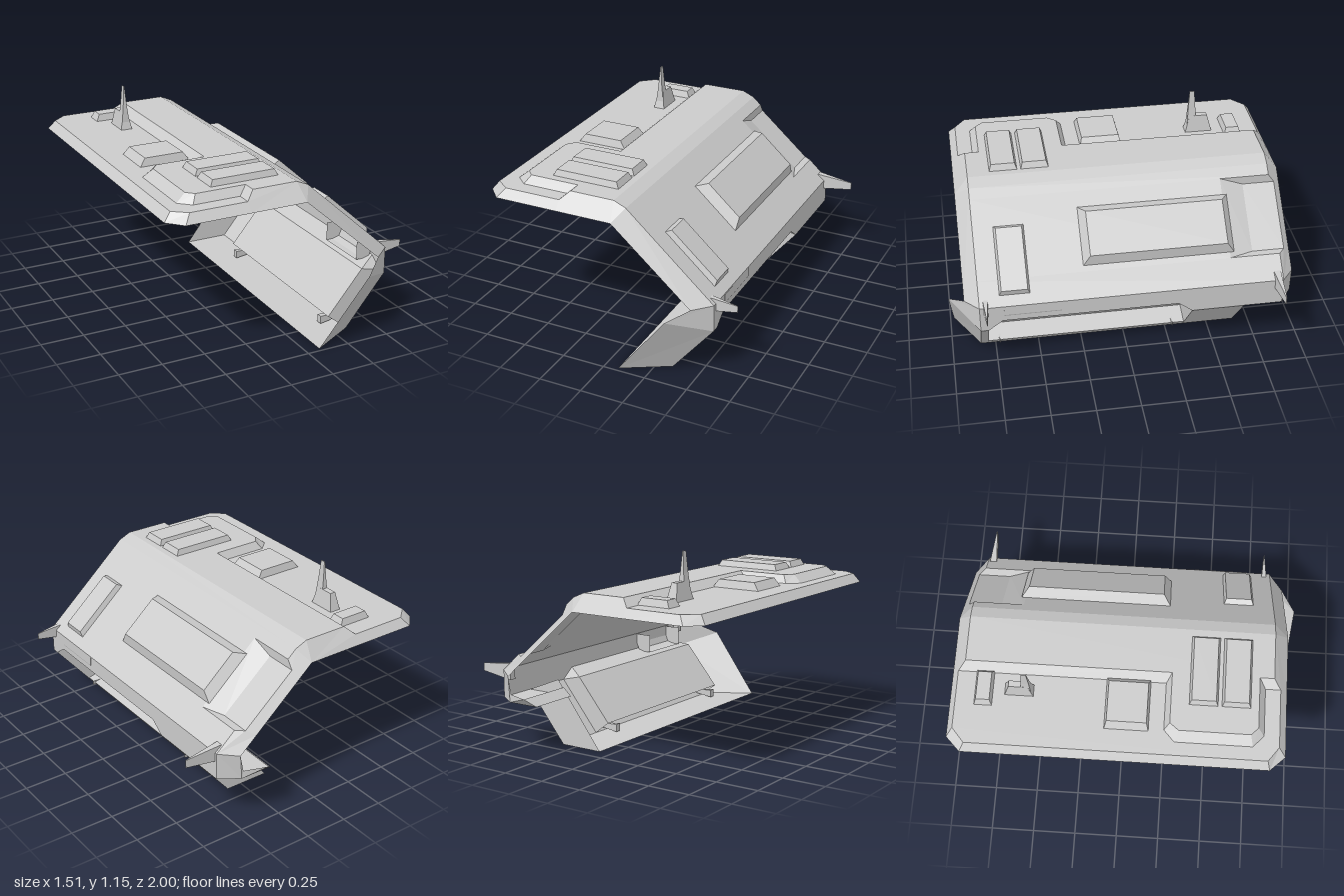
import * as THREE from 'three';

const material = new THREE.MeshStandardMaterial({ color: 0xcccccc, flatShading: true, side: THREE.DoubleSide });

// Flat panels, each a convex polygon given by its corners
function panels(name, polys) {
  const pos = [];
  for (const p of polys)
    for (let i = 1; i < p.length - 1; i++) pos.push(...p[0], ...p[i], ...p[i + 1]);
  const g = new THREE.BufferGeometry();
  g.setAttribute('position', new THREE.Float32BufferAttribute(pos, 3));
  g.computeVertexNormals();
  const m = new THREE.Mesh(g, material);
  m.name = name;
  return m;
}

// Box standing on its base, its top inset on both axes
function block(name, [l, h, w], [ix, iz], [x, y, z], tilt = 0) {
  const g = new THREE.BoxGeometry(l, h, w).translate(0, h / 2, 0).toNonIndexed();
  const p = g.attributes.position;
  for (let i = 0; i < p.count; i++)
    if (p.getY(i) > h / 2) {
      p.setX(i, p.getX(i) * (1 - 2 * ix / l));
      p.setZ(i, p.getZ(i) * (1 - 2 * iz / w));
    }
  g.computeVertexNormals();
  const m = new THREE.Mesh(g, material);
  m.name = name;
  m.position.set(x, y, z);
  m.rotation.z = tilt;
  return m;
}

const at = (y, pts) => pts.map(([x, z]) => [x, y, z]);
const skirt = (a, b) => a.slice(1).map((q, i) => [a[i], q, b[i + 1], b[i]]);
const lerp = (a, b, t) => a.map((v, i) => v + (b[i] - v) * t);
// Same x-y outline stretched between two depths
const run = (pts, z0, z1) => skirt(pts.map(([x, y]) => [x, y, z0]), pts.map(([x, y]) => [x, y, z1]));

export function createModel() {
  const group = new THREE.Group();
  const add = (...m) => group.add(...m);
  const ZF = 0.835, ZB = -0.88, RF = 0.915, RB = -0.955;
  const slopeY = x => 0.905 - 0.9 * (x - 0.07);
  const tilt = -Math.atan(0.9);

  // Roof: rim, low shelf and raised deck
  const rim = at(0.84, [[-0.31, RB], [-0.68, RB], [-0.76, -0.875], [-0.76, 0.83], [-0.68, RF], [-0.31, RF]]);
  const edge = [[-0.31, -0.92], [-0.64, -0.92], [-0.72, -0.85], [-0.72, 0.815], [-0.64, 0.875], [-0.31, 0.875]];
  const foot = [[-0.31, -0.92], [-0.31, 0.24], [-0.58, 0.24], [-0.645, 0.3], [-0.645, 0.73], [-0.58, 0.79], [-0.31, 0.79]];
  const crest = [[-0.26, ZB], [-0.26, 0.27], [-0.55, 0.27], [-0.59, 0.32], [-0.59, 0.715], [-0.55, 0.755], [-0.26, 0.755]];
  add(panels('roofRim', skirt(rim, at(0.89, edge))));
  const outline = [...edge, ...foot.slice(1).reverse()];
  const tris = THREE.ShapeUtils.triangulateShape(outline.map(p => new THREE.Vector2(...p)), []);
  add(panels('roofShelf', tris.map(t => at(0.89, t.map(i => outline[i]).reverse()))));
  add(panels('deckStep', skirt(at(0.89, [...foot, [-0.31, 0.875]]), at(0.935, [...crest, [-0.26, ZF]]))));
  add(panels('deck', [
    at(0.935, crest.slice(1)),
    ...run([[-0.26, 0.935], [0, 0.935], [0.07, slopeY(0.07)]], ZF, ZB),
  ]));

  // Sloping wall around the recess
  const strip = (x0, x1, z0, z1) => run([[x0, slopeY(x0)], [x1, slopeY(x1)]], z0, z1);
  add(panels('slopingWall', [
    ...strip(0.07, 0.12, ZF, ZB), ...strip(0.12, 0.465, ZF, -0.595), ...strip(0.465, 0.58, ZF, ZB),
  ]));

  // Bevelled front and back ends
  const bevel = (z, r) => {
    const a = [0.07, slopeY(0.07), z], b = [0.58, slopeY(0.58), z], c = [0.02, 0.84, r], d = [0.48, 0.435, r];
    return { tri: [c, a, [0, 0.935, z]], p: (u, t) => lerp(lerp(a, b, u), lerp(c, d, u), t) };
  };
  const lip = (z, r, shelf) => [[0.02, 0.84, r], [-0.31, 0.84, r], [-0.31, 0.89, shelf], [-0.26, 0.935, z], [0, 0.935, z]];
  const f = bevel(ZF, RF).p, k = bevel(ZB, RB).p;
  const u0 = 0.05 / 0.51, u1 = 0.395 / 0.51;
  const e0 = [0.12, 0.81, -0.915], e1 = [0.42, 0.548, -0.915];
  add(panels('frontBevel', [
    lip(ZF, RF, 0.875).reverse(), bevel(ZF, RF).tri, [f(0, 0), f(0, 1), f(1, 1), f(1, 0)],
  ]));
  add(panels('backBevel', [
    lip(ZB, RB, -0.92), bevel(ZB, RB).tri,
    [k(0, 0), k(u0, 0), e0, k(u0, 1), k(0, 1)],
    [e0, e1, k(u1, 1), k(u0, 1)],
    [k(1, 0), k(1, 1), k(u1, 1), e1, k(u1, 0)],
  ]));

  // Ramped recess open towards the back
  const hi = z => [0.12, slopeY(0.12), z], lo = z => [0.465, slopeY(0.465), z];
  const g0 = [0.12, 0.81, -0.73], g1 = [0.42, 0.548, -0.73];
  add(panels('wallRecess', [
    [hi(-0.595), lo(-0.595), g1, g0], [g0, g1, e1, e0],
    [hi(-0.595), g0, e0, hi(ZB)], [lo(-0.595), lo(ZB), e1, g1],
  ]));

  // Upright band with the notched lower edge
  const X = 0.58, T = slopeY(X);
  add(panels('sideBand', [
    [[X, T, ZF], [X, 0.35, ZF], [X, 0.35, ZB], [X, T, ZB]],
    [[X, 0.35, -0.28], [X, 0.29, -0.36], [X, 0.29, ZB], [X, 0.35, ZB]],
    [[X, 0.35, ZF], [X, 0.29, ZF], [X, 0.29, 0.79], [X, 0.35, 0.71]],
  ]));

  // Folded flap under the back corner
  const tip = [0.33, 0.335, -1], corner = [0.48, 0.435, RB], low = [0.47, 0.29, RB], bend = [0.46, 0.335, RB];
  add(panels('backFlap', [
    [[X, 0.29, ZB], low, [0.28, 0.29, RB], [0.28, 0.29, -0.66], [X, 0.29, -0.66]],
    [low, tip, [0.28, 0.29, RB]],
    [[X, T, ZB], [X, 0.29, ZB], low, corner],
    [corner, low, bend],
    [bend, low, tip],
    [tip, [0.28, 0.29, RB], [0.28, 0.29, -0.66], [0.33, 0.335, -0.66]],
  ]));

  // Lower leg leaning inward, open on its inner side
  const nose = [0.37, 0.375, 1], toe = [0.08, 0, 0.98], zb = -0.66;
  add(panels('lowerLeg', [
    [toe, [0.34, 0, ZF], [X, 0.29, ZF], nose],
    [nose, [X, 0.29, ZF], [X, T, ZF], [0.48, 0.435, RF]],
    [toe, [0.08, 0, zb], [0.34, 0, zb], [0.34, 0, ZF]],
    [[0.08, 0, zb], [0.37, 0.375, zb], [X, 0.29, zb], [0.34, 0, zb]],
    ...run([[X, 0.29], [0.34, 0]], -0.36, zb),
    ...run([[X, 0.29], [0.34, 0]], ZF, 0.79),
  ]));

  // Sunken panel in the leg with a ledge at its foot
  const side = (z, zt) => [
    [[0.34, 0, z], [X, 0.29, z], [0.46, 0.32, z], [0.25, 0.07, z]],
    [[X, 0.35, zt], [X, 0.29, z], [0.46, 0.32, z]],
  ];
  add(panels('legPanel', [
    [[X, 0.35, 0.71], [0.46, 0.32, 0.79], [0.46, 0.32, -0.36], [X, 0.35, -0.28]],
    ...run([[0.46, 0.32], [0.25, 0.07], [0.365, 0.035], [0.34, 0]], 0.79, -0.36),
    ...side(0.79, 0.71), ...side(-0.36, -0.28),
  ]));

  // Raised plates on the roof
  for (const z of [0.45, 0.63]) add(block('roofVent', [0.41, 0.045, 0.165], [0.022, 0.015], [-0.24, 0.925, z]));
  add(block('roofHatch', [0.31, 0.055, 0.25], [0.04, 0.015], [-0.445, 0.88, 0.033]));
  add(block('roofPlate', [0.21, 0.05, 0.105], [0.025, 0.015], [-0.4, 0.88, -0.765]));

  // Antenna: foot, flared root and thin spire
  add(block('antennaFoot', [0.07, 0.11, 0.165], [0.018, 0.03], [-0.4, 0.88, -0.57]));
  add(block('antennaRoot', [0.055, 0.13, 0.06], [0.016, 0.008], [-0.4, 0.9, -0.53]));
  add(block('antennaSpire', [0.023, 0.12, 0.044], [0.009, 0.008], [-0.4, 1.03, -0.53]));

  // Plates on the slope
  add(block('wallPanel', [0.336, 0.053, 0.86], [0.04, 0.04], [0.315, slopeY(0.315), -0.19], tilt));
  add(block('wallPlate', [0.39, 0.03, 0.17], [0.016, 0.012], [0.387, slopeY(0.387), 0.635], tilt));

  // Bracket hanging over the notch
  const hook = [[0.583, 0.443], [0.583, 0.39], [0.56, 0.335], [0.48, 0.335]];
  add(panels('bandBracket', [
    ...run(hook, 0.7, 0.38),
    ...[0.7, 0.38].map(z => [...hook, [0.48, 0.443]].map(([x, y]) => [x, y, z])),
  ]));

  // Pointed fins along the side
  const fin = (name, h, len, w, x, y, z) =>
    add(block(name, [h, len, w], [h * 0.26, w * 0.45], [x, y, z], -Math.PI / 2));
  fin('frontFin', 0.08, 0.16, 0.03, 0.54, 0.437, 0.8);
  fin('backFin', 0.095, 0.215, 0.04, 0.54, 0.437, -0.85);
  for (const z of [0.725, -0.29]) fin('ledgeFin', 0.045, 0.145, 0.035, 0.23, 0.032, z);

  return group;
}
